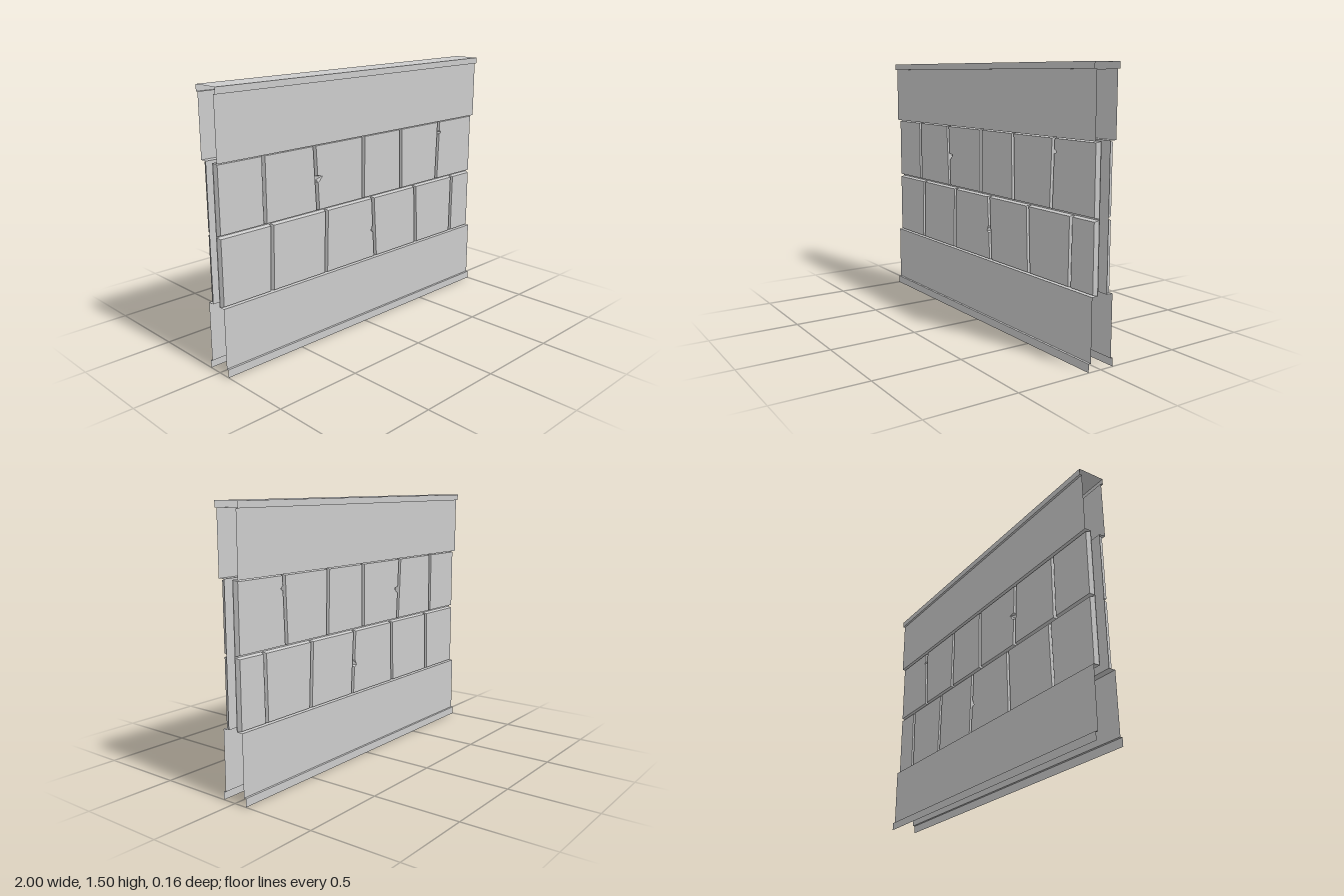
import * as THREE from 'three';

const material = new THREE.MeshStandardMaterial({ color: 0xcccccc, side: THREE.DoubleSide, flatShading: true });
const OUTER = 0.078, PANEL = 0.065, FACE = 0.053, BASE = 0.028;

// Flat-faced mesh from a list of triangles; side = -1 mirrors it to the back of the wall
function facets(name, triangles, side) {
  const positions = [];
  for (const t of triangles) {
    for (const p of side > 0 ? t : [t[0], t[2], t[1]]) positions.push(p[0], p[1], p[2] * side);
  }
  const geometry = new THREE.BufferGeometry();
  geometry.setAttribute('position', new THREE.Float32BufferAttribute(positions, 3));
  geometry.computeVertexNormals();
  const mesh = new THREE.Mesh(geometry, material);
  mesh.name = name;
  return mesh;
}

const quad = (a, b, c, d) => [[a, b, c], [a, c, d]];

// Open sheet: a [z, y] profile, listed from top to bottom, swept along x
function sheet(name, profile, side) {
  const triangles = [];
  for (let i = 0; i < profile.length - 1; i++) {
    const [z0, y0] = profile[i], [z1, y1] = profile[i + 1];
    triangles.push(...quad([-1, y0, z0], [-1, y1, z1], [1, y1, z1], [1, y0, z0]));
  }
  return facets(name, triangles, side);
}

// Stone block with sloping sides; joints are [xTop, xBottom], a chip is { edge, points: [depth, y] }
function block(left, right, bottom, top, chip, side) {
  const at = (joint, y) => joint[1] + (joint[0] - joint[1]) * (y - bottom) / (top - bottom);
  const face = [], base = [];
  const add = (joint, inward, y, dy, depth = 0) => {
    face.push([at(joint, y) + inward * (0.011 + depth), y + dy, FACE]);
    base.push([at(joint, y) + inward * 0.004, y, BASE]);
  };
  const chips = edge => (chip && chip.edge === edge ? chip.points : []);
  add(left, 1, bottom, 0.006);
  add(right, -1, bottom, 0.006);
  for (const [depth, y] of chips('right')) add(right, -1, y, 0, depth);
  add(right, -1, top, -0.006);
  add(left, 1, top, -0.006);
  for (const [depth, y] of chips('left')) add(left, 1, y, 0, depth);

  const outline = face.map(p => new THREE.Vector2(p[0], p[1]));
  const triangles = THREE.ShapeUtils.triangulateShape(outline, []).map(t => t.map(i => face[i]));
  face.forEach((p, i) => {
    const j = (i + 1) % face.length;
    triangles.push(...quad(p, base[i], base[j], face[j]));
  });
  return facets('stoneBlock', triangles, side);
}

const rows = [
  {
    name: 'upperStoneRow', bottom: 0.757, top: 1.128,
    joints: [[-1, -1], [-0.71, -0.71], [-0.365, -0.345], [0.005, 0.005], [0.317, 0.328], [0.67, 0.657], [1, 1]],
    chips: {
      2: { edge: 'left', points: [[0, 0.957], [0.036, 0.951], [0.012, 0.925], [0, 0.918]] },
      5: { edge: 'left', points: [[0, 1.068], [0.014, 1.06], [0.012, 1.05], [0, 1.045]] },
    },
  },
  {
    name: 'lowerStoneRow', bottom: 0.378, top: 0.75,
    joints: [[-1, -1], [-0.665, -0.677], [-0.28, -0.291], [0.085, 0.107], [0.457, 0.473], [0.817, 0.812], [1, 1]],
    chips: {
      2: { edge: 'right', points: [[0, 0.535], [0.016, 0.546], [0.014, 0.556], [0, 0.58]] },
    },
  },
];

export function createModel() {
  const wall = new THREE.Group();
  wall.name = 'stoneWall';

  // Flat top of the coping
  wall.add(facets('copingTop', quad([-1, 1.5, OUTER], [1, 1.5, OUTER], [1, 1.5, -OUTER], [-1, 1.5, -OUTER]), 1));

  for (const side of [1, -1]) {
    const half = new THREE.Group();
    half.name = side > 0 ? 'frontFace' : 'backFace';

    // Plain bands with a projecting lip above and below the stones
    half.add(sheet('upperBand', [[OUTER, 1.5], [OUTER, 1.465], [PANEL, 1.465], [PANEL, 1.13], [BASE, 1.13]], side));
    half.add(sheet('lowerBand', [[BASE, 0.378], [PANEL, 0.378], [PANEL, 0.045], [OUTER, 0.045], [OUTER, 0]], side));

    // Recessed surface at the bottom of the joints
    half.add(sheet('jointBacking', [[BASE, 1.13], [BASE, 0.378]], side));

    // Two courses of stones
    for (const { name, bottom, top, joints, chips } of rows) {
      const row = new THREE.Group();
      row.name = name;
      for (let i = 0; i < joints.length - 1; i++) {
        row.add(block(joints[i], joints[i + 1], bottom, top, chips[i], side));
      }
      half.add(row);
    }
    wall.add(half);
  }
  return wall;
}
